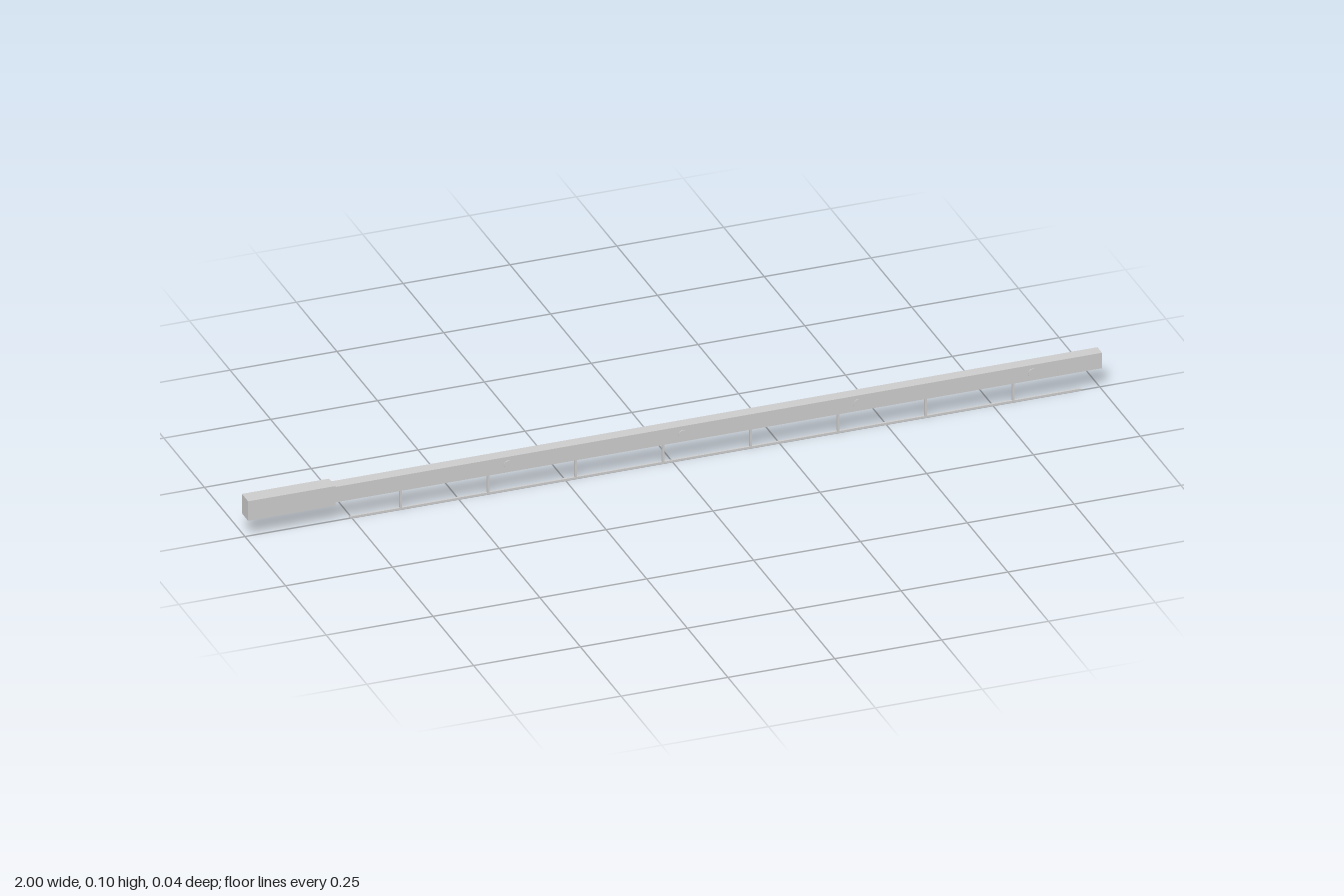
import * as THREE from 'three';

export function createModel() {
  const model = new THREE.Group();
  const grey = new THREE.MeshStandardMaterial({ color: 0xcccccc });

  const add = (name, geometry, x, y, z = 0) => {
    const mesh = new THREE.Mesh(geometry, grey);
    mesh.name = name;
    mesh.position.set(x, y, z);
    model.add(mesh);
    return mesh;
  };

  // Thick mounting block at one end and the long boom it holds
  add('mountingBlock', new THREE.BoxGeometry(0.204, 0.048, 0.038), -0.898, 0.072);
  add('boom', new THREE.BoxGeometry(1.8, 0.038, 0.0285), 0.1, 0.072);

  // Thin rail hanging under the boom
  add('lowerRail', new THREE.BoxGeometry(1.71, 0.005, 0.005), 0.1, 0.0025);

  // Evenly spaced hangers
  const hanger = new THREE.BoxGeometry(0.005, 0.052, 0.005);
  for (let i = 0; i < 8; i++) {
    add('hanger', hanger, -0.636 + i * 0.2047, 0.029);
  }

  // Round reflectors on both faces of the boom
  const reflector = new THREE.CylinderGeometry(0.01, 0.01, 0.003, 16).rotateX(Math.PI / 2);
  for (let i = 0; i < 4; i++) {
    for (const side of [-1, 1]) {
      add('reflector', reflector, -0.39 + i * 0.409, 0.072, side * 0.0148);
    }
  }

  return model;
}
